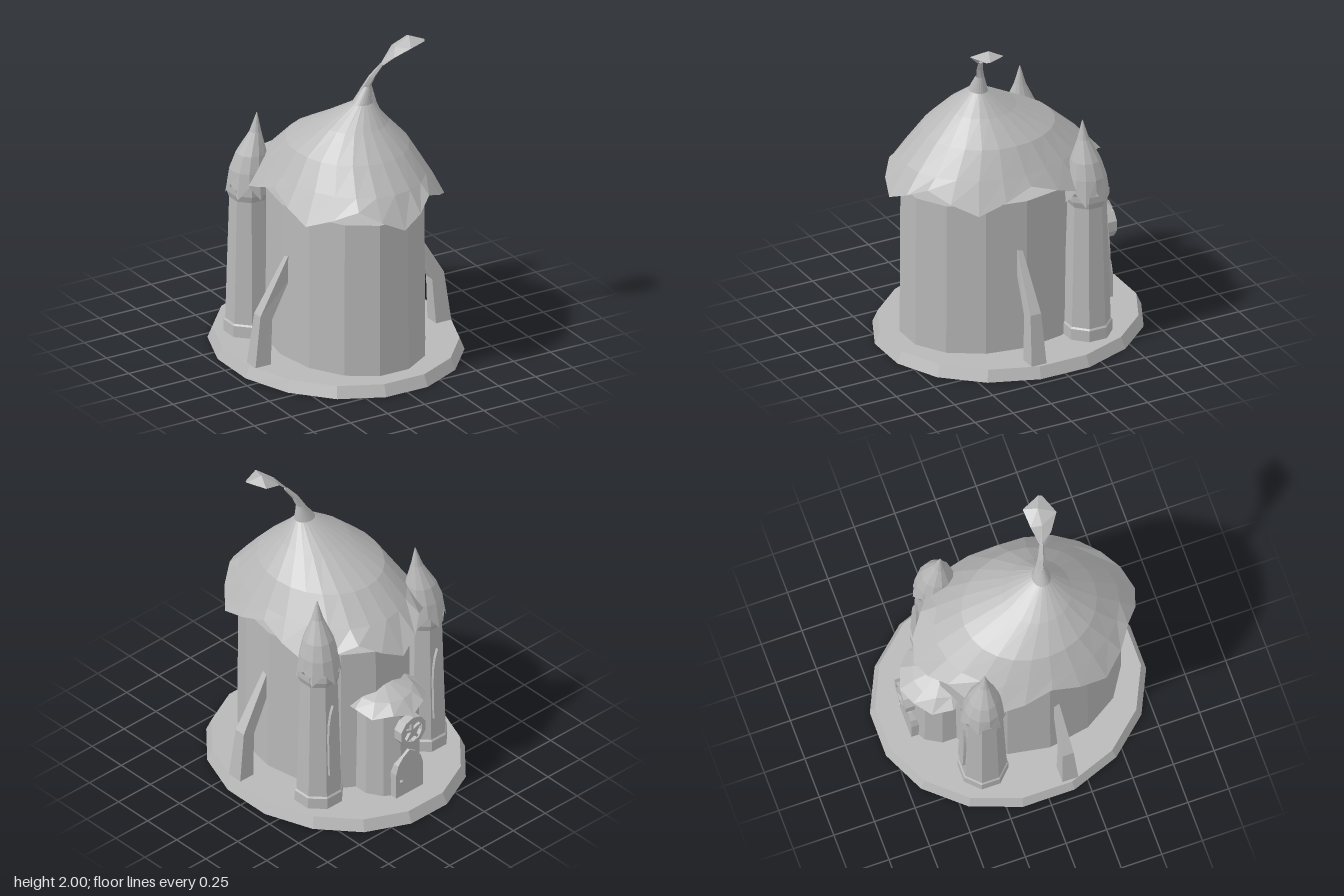
import * as THREE from 'three';

const stone = new THREE.MeshStandardMaterial({ color: 0xb8b8b8, flatShading: true, side: THREE.DoubleSide });
stone.name = 'plain grey';

function part(name, geometry, parent, x = 0, y = 0, z = 0) {
  const mesh = new THREE.Mesh(geometry, stone);
  mesh.name = name;
  mesh.position.set(x, y, z);
  parent.add(mesh);
  return mesh;
}

// Skin between rows of [x, y, z] points; closed rows wrap round, cap fills the last row
function loft(rows, closed = true, cap = false) {
  const n = rows[0].length, pos = [], idx = [];
  rows.forEach(row => row.forEach(p => pos.push(...p)));
  for (let i = 0; i < rows.length - 1; i++) {
    for (let j = 0; j < (closed ? n : n - 1); j++) {
      const a = i * n + j, b = i * n + (j + 1) % n;
      idx.push(a, b, b + n, a, b + n, a + n);
    }
  }
  if (cap) {
    const s = (rows.length - 1) * n;
    for (let j = 1; j < n - 1; j++) idx.push(s, s + j, s + j + 1);
  }
  const g = new THREE.BufferGeometry();
  g.setAttribute('position', new THREE.Float32BufferAttribute(pos, 3));
  g.setIndex(idx);
  const flat = g.toNonIndexed();
  flat.computeVertexNormals();
  return flat;
}

// Horizontal ellipse of n points; turn is in steps
function ring(n, cx, y, cz, rx, rz, turn = 0) {
  return Array.from({ length: n }, (_, j) => {
    const a = (j + turn) / n * Math.PI * 2;
    return [cx + rx * Math.sin(a), y, cz + rz * Math.cos(a)];
  });
}

// Rim whose edge zigzags between low outer tips and high inner notches
function scallop(n, tips, cz, low, high) {
  return Array.from({ length: n }, (_, j) => {
    const a = j / n * Math.PI * 2;
    const f = (j * tips / n) % 1;
    const t = 1 - Math.abs(1 - 2 * f);
    const mix = k => low[k] + (high[k] - low[k]) * t;
    return [mix(0) * Math.sin(a), mix(1), cz + mix(2) * Math.cos(a)];
  });
}

// Pointed arch plate
function arch(w, h, depth) {
  const s = new THREE.Shape();
  s.moveTo(-w / 2, 0);
  s.lineTo(w / 2, 0);
  s.lineTo(w / 2, h * 0.55);
  s.quadraticCurveTo(w * 0.45, h * 0.85, 0, h);
  s.quadraticCurveTo(-w * 0.45, h * 0.85, -w / 2, h * 0.55);
  return new THREE.ExtrudeGeometry(s, { depth, bevelEnabled: false, curveSegments: 3 });
}

function makeTower(side) {
  const g = new THREE.Group();
  g.name = side > 0 ? 'leftTower' : 'rightTower';
  g.position.set(0.41 * side, 0, -0.3);
  const shaft = [[0, 0.15], [0.14, 0.147], [0.15, 0.138], [0.92, 0.115], [0.96, 0.13], [1.0, 0.13]];
  part('towerShaft', loft(shaft.map(([y, r]) => ring(8, 0, y, 0, r, r, 0.5))), g);
  // Bud-shaped roof leaning to one side
  const lean = side > 0 ? -0.01 : 0.04;
  const roof = [[1.1, 0.115, 0.05], [1.2, 0.09, 0.3], [1.33, 0.035, 0.8], [1.45, 0.002, 1]];
  part('towerRoof', loft([
    scallop(12, 6, 0, [0.135, 0.94, 0.14], [0.122, 1.02, 0.127]),
    ...roof.map(([y, r, t]) => ring(12, lean * t, y, 0.025 * t, r, r)),
  ]), g);
  // Narrow window on the back face
  const slit = part('towerWindow', arch(0.08, 0.48, 0.025), g, 0, 0.3, -0.14);
  slit.rotation.x = 0.025;
  return g;
}

function makeButtress(side) {
  // [inner x, inner y, outer x, outer y, half depth], foot to top
  const cuts = [[0.56, 0.04, 0.665, 0.04, 0.05], [0.54, 0.35, 0.62, 0.38, 0.035], [0.41, 0.57, 0.41, 0.735, 0.016]];
  const rows = cuts.map(([xi, yi, xo, yo, d]) => {
    const c = [[xi, yi, 0.148 - d], [xi, yi, 0.148 + d], [xo, yo, 0.148 + d], [xo, yo, 0.148 - d]];
    const m = c.map(([x, y, z]) => [x * side, y, z]);
    return side > 0 ? m : m.reverse();
  });
  return loft(rows);
}

export function createModel() {
  const model = new THREE.Group();
  model.name = 'gardenHouse';

  // Hollow oval plinth
  part('base', loft([
    ring(16, 0, 0, 0, 0.718, 0.816, 0.5),
    ring(16, 0, 0.07, 0, 0.69, 0.785, 0.5),
  ], true, true), model);

  // Oval main room
  part('mainWall', loft([
    ring(14, 0, 0.07, 0.105, 0.435, 0.57, 0.5),
    ring(14, 0, 1.025, 0.105, 0.43, 0.565, 0.5),
  ], true, true), model);

  // Petal roof drawn up into an off-centre neck: [cx, y, cz, rx, rz]
  const roof = [
    [0, 1.2, 0.115, 0.435, 0.55], [0, 1.35, 0.13, 0.345, 0.4], [0.01, 1.49, 0.18, 0.2, 0.205],
    [0.045, 1.61, 0.22, 0.065, 0.055], [0.075, 1.71, 0.225, 0.025, 0.025],
  ];
  part('mainRoof', loft([
    scallop(24, 6, 0.1, [0.54, 1.02, 0.68], [0.475, 1.14, 0.64]),
    ...roof.map(r => ring(24, ...r)),
  ]), model);

  // Bent stem and curled leaf
  part('stem', loft([
    ring(5, 0.06, 1.68, 0.215, 0.032, 0.025), ring(5, 0.1, 1.77, 0.24, 0.022, 0.02),
    ring(5, 0.155, 1.845, 0.262, 0.014, 0.012),
  ], true, true), model);
  part('leaf', loft([
    [[0.15, 1.84, 0.25], [0.15, 1.85, 0.262], [0.15, 1.84, 0.28]],
    [[0.24, 1.93, 0.225], [0.225, 1.945, 0.29], [0.19, 1.9, 0.335]],
    [[0.35, 1.965, 0.215], [0.315, 2.0, 0.295], [0.27, 1.965, 0.395]],
    [[0.385, 1.97, 0.3], [0.4, 1.972, 0.33], [0.39, 1.968, 0.35]],
  ], false), model);

  for (const side of [1, -1]) {
    model.add(makeTower(side));
    part(side > 0 ? 'leftButtress' : 'rightButtress', makeButtress(side), model);
  }

  // Rear porch with a domed cap
  const porch = new THREE.Group();
  porch.name = 'porch';
  porch.position.z = -0.42;
  model.add(porch);
  part('porchWall', loft([ring(12, 0, 0.04, 0, 0.205, 0.205, 0.5), ring(12, 0, 0.67, 0, 0.195, 0.195, 0.5)]), porch);
  part('porchRoof', loft([
    scallop(12, 6, 0, [0.245, 0.64, 0.245], [0.235, 0.665, 0.235]),
    ring(12, 0, 0.71, 0.01, 0.17, 0.17), ring(12, 0, 0.755, 0.02, 0.06, 0.06),
  ], true, true), porch);

  // Arched door with knob
  part('door', arch(0.21, 0.3, 0.06), porch, 0, 0.07, -0.212);
  part('doorKnob', new THREE.IcosahedronGeometry(0.012), porch, 0.07, 0.18, -0.22);

  // Round window with five spokes
  const wheel = new THREE.Group();
  wheel.name = 'roundWindow';
  wheel.position.set(0, 0.52, -0.215);
  porch.add(wheel);
  const rim = new THREE.LatheGeometry(
    [[0.07, -0.03], [0.1, -0.03], [0.1, 0.03], [0.07, 0.03], [0.07, -0.03]].map(p => new THREE.Vector2(...p)), 10);
  part('windowRim', rim, wheel).rotation.x = Math.PI / 2;
  part('windowPane', new THREE.CylinderGeometry(0.08, 0.08, 0.008, 10), wheel).rotation.x = Math.PI / 2;
  for (let i = 0; i < 5; i++) {
    const a = i / 5 * Math.PI * 2;
    part('windowSpoke', new THREE.BoxGeometry(0.016, 0.075, 0.03), wheel,
      -Math.sin(a) * 0.038, Math.cos(a) * 0.038, -0.008).rotation.z = a;
  }
  return model;
}
